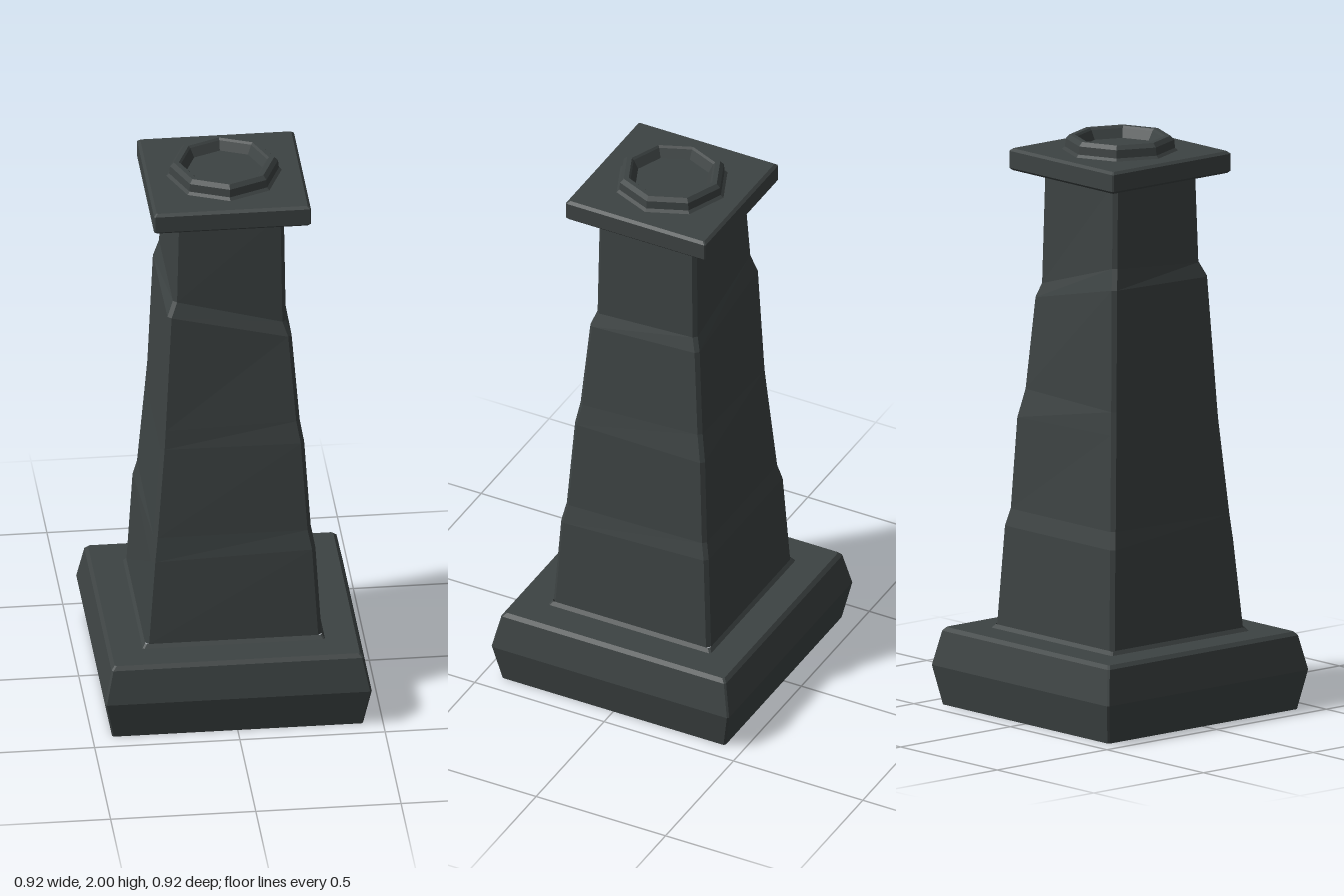
import * as THREE from 'three';

// corners in counter-clockwise order seen from above
const CORNERS = [[1, 1], [1, -1], [-1, -1], [-1, 1]];

// square ring with chamfered corners; level(k) gives [y, half width] at corner k
function squareRing(level, chamfer) {
  const ring = [];
  CORNERS.forEach(([sx, sz], k) => {
    const [y, r] = level(k);
    const alongX = [sx * (r - chamfer), y, sz * r];
    const alongZ = [sx * r, y, sz * (r - chamfer)];
    ring.push(...(sx * sz > 0 ? [alongX, alongZ] : [alongZ, alongX]));
  });
  return ring;
}

// octagonal ring with corners on the axes
function octagonRing(r, y) {
  return Array.from({ length: 8 }, (_, i) => {
    const a = (i * Math.PI) / 4;
    return [r * Math.cos(a), y, -r * Math.sin(a)];
  });
}

// join successive rings into a faceted skin
function loft(rings) {
  const pos = [];
  for (let j = 0; j < rings.length - 1; j++) {
    const a = rings[j], b = rings[j + 1], n = a.length;
    for (let i = 0; i < n; i++) {
      const m = (i + 1) % n;
      pos.push(...a[i], ...a[m], ...b[m], ...a[i], ...b[m], ...b[i]);
    }
  }
  const g = new THREE.BufferGeometry();
  g.setAttribute('position', new THREE.Float32BufferAttribute(pos, 3));
  g.computeVertexNormals();
  return g;
}

const squareLoft = (profile, chamfer) =>
  loft(profile.map(([r, y]) => squareRing(() => [y, r], chamfer)));

export function createModel() {
  const group = new THREE.Group();
  const stone = new THREE.MeshStandardMaterial({
    color: 0x3d4343, side: THREE.DoubleSide, flatShading: true,
  });
  stone.name = 'dark stone';

  const add = (name, geometry) => {
    const mesh = new THREE.Mesh(geometry, stone);
    mesh.name = name;
    group.add(mesh);
  };

  // bulging plinth, open underneath, with a ledge up to the column
  add('plinth', squareLoft([
    [0.432, 0], [0.459, 0.138], [0.434, 0.258], [0.422, 0.271],
    [0.314, 0.271], [0.304, 0.284],
  ], 0.006));

  // weathered column: [y, half width] up each corner, with uneven steps
  const profiles = [
    [[0.284, 0.304], [0.61, 0.285], [0.68, 0.271], [1.01, 0.25], [1.09, 0.236], [1.41, 0.211], [1.46, 0.193], [1.875, 0.187]],
    [[0.284, 0.304], [0.63, 0.285], [0.69, 0.271], [1.01, 0.255], [1.11, 0.235], [1.43, 0.211], [1.48, 0.195], [1.875, 0.187]],
    [[0.284, 0.304], [0.63, 0.285], [0.69, 0.271], [1.02, 0.245], [1.1, 0.239], [1.52, 0.222], [1.59, 0.203], [1.875, 0.188]],
    [[0.284, 0.304], [0.59, 0.28], [0.68, 0.271], [1.01, 0.244], [1.08, 0.24], [1.51, 0.217], [1.56, 0.196], [1.875, 0.188]],
  ];
  add('column', loft(profiles[0].map((_, j) =>
    squareRing((k) => profiles[k][j], 0.013))));

  // flat cap slab, underside meeting the column
  add('capSlab', squareLoft([
    [0.187, 1.873], [0.262, 1.873], [0.27, 1.881], [0.27, 1.94],
    [0.26, 1.949], [0, 1.949],
  ].map(([r, y]) => [r, y]), 0.008 * 0.5));

  // raised octagonal rim with a shallow recess
  add('topRim', loft([
    [0.2, 1.948], [0.189, 1.958], [0.186, 1.986], [0.173, 2],
    [0.155, 2], [0.148, 1.993], [0.131, 1.962], [0, 1.962],
  ].map(([r, y]) => octagonRing(r, y))));

  return group;
}
